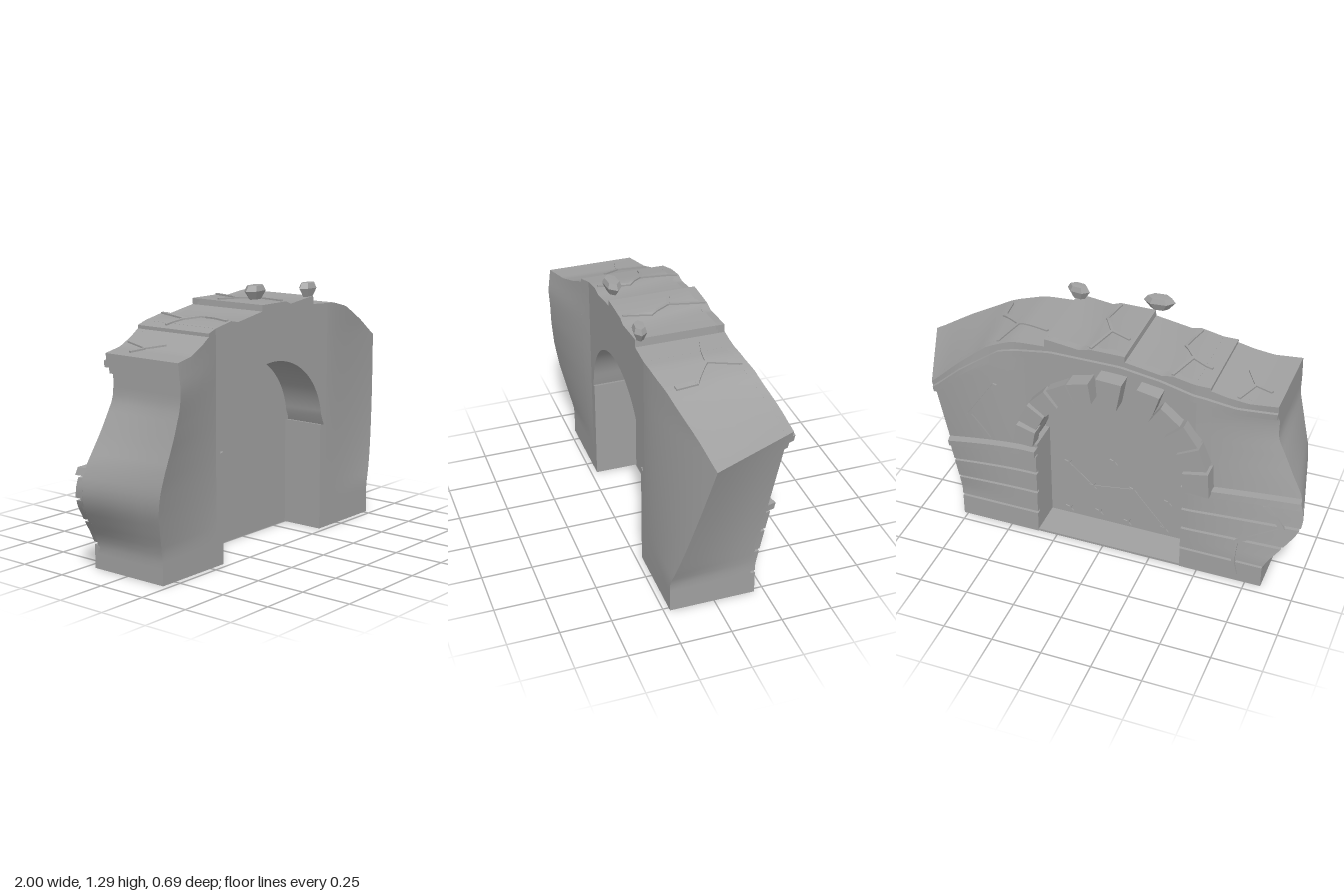
import * as THREE from 'three';
import { toCreasedNormals } from 'three/addons/utils/BufferGeometryUtils.js';

const stone = new THREE.MeshStandardMaterial({ color: 0xa0a0a0 });
stone.name = 'grey stone';

// Height lines: the stepped top of the wall and the moulding under it
const TOP = [[-0.83, 1.02], [-0.7, 1.03], [-0.6, 1.06], [-0.531, 1.09], [-0.529, 1.105], [-0.35, 1.14],
  [-0.3, 1.13], [-0.121, 1.16], [-0.119, 1.19], [0.06, 1.19], [0.1, 1.175], [0.27, 1.195], [0.279, 1.195],
  [0.281, 1.155], [0.45, 1.145], [0.55, 1.11], [0.66, 1.02], [0.77, 0.91]];
const MOULD = [[-0.83, 0.96], [-0.65, 0.98], [-0.5, 1.03], [-0.3, 1.08], [-0.1, 1.11], [0.25, 1.11],
  [0.5, 1.07], [0.66, 0.96], [0.77, 0.86]];
// Sideways bulge and forward lean of the left/right ends against height
const BULGE = [[0.12, 0], [0.17, 0.025], [0.23, 0.07], [0.33, 0.14], [0.38, 0.163], [0.42, 0.17], [0.47, 0.165],
  [0.55, 0.14], [0.64, 0.09], [0.72, 0.05], [0.82, 0]];
const LEAN = [[0.15, 0], [0.4, 0.053], [0.55, 0.08], [0.7, 0.1], [0.9, 0.115], [1.02, 0.1]];

function table(points, x) {
  if (x <= points[0][0]) return points[0][1];
  for (let i = 1; i < points.length; i++) {
    const [x0, y0] = points[i - 1], [x1, y1] = points[i];
    if (x <= x1) return y0 + (y1 - y0) * (x - x0) / (x1 - x0);
  }
  return points[points.length - 1][1];
}
const top = x => table(TOP, x);
const mould = x => table(MOULD, x);
const lerp = THREE.MathUtils.lerp;

// Twist the two ends of the wall
function warp(x, y, z) {
  const w = (z + 0.2) / 0.42;
  if (x > 0.4) {
    const s = ((x - 0.4) / 0.37) ** 1.6;
    const t = THREE.MathUtils.clamp((y - 0.17) / 0.74, 0, 1.1);
    return [x + s * lerp(0.05 * t, 0.23 * t ** 0.8, w), y, z - 0.13 * t * s];
  }
  if (x < -0.46) {
    const s = (-0.46 - x) / 0.37;
    return [x - s ** 1.5 * table(BULGE, y) * lerp(1, 0.47, w), y, z + s * table(LEAN, y)];
  }
  return [x, y, z];
}

function mapVertices(geometry, rule) {
  const p = geometry.attributes.position;
  for (let i = 0; i < p.count; i++) p.setXYZ(i, ...rule(p.getX(i), p.getY(i), p.getZ(i)));
  return geometry;
}

export function createModel() {
  const model = new THREE.Group();
  model.name = 'stoneArchway';

  const add = (name, geometry, parent = model) => {
    const mesh = new THREE.Mesh(toCreasedNormals(geometry, 0.5), stone);
    mesh.name = name;
    parent.add(mesh);
    return mesh;
  };

  // Warped slab between two height lines
  const slab = (name, x0, x1, low, high, z0, z1, nx = 10, ny = 1, nz = 1) => {
    const g = new THREE.BoxGeometry(1, 1, 1, nx, ny, nz);
    add(name, mapVertices(g, (a, b, c) => {
      const x = lerp(x0, x1, a + 0.5), k = THREE.MathUtils.clamp(x, x0 + 0.003, x1 - 0.003);
      return warp(x, lerp(low(k), high(k), b + 0.5), lerp(z0, z1, c + 0.5));
    }));
  };
  const flat = y => () => y;

  // Middle of the wall with the arched opening
  const s = new THREE.Shape();
  s.moveTo(-0.46, 0);
  s.lineTo(-0.41, 0);
  s.lineTo(-0.41, 0.54);
  s.lineTo(-0.43, 0.535);
  for (let i = 2; i <= 46; i++) {
    const a = Math.PI * (1 - i / 48);
    s.lineTo(-0.03 + 0.39 * Math.cos(a), 0.54 + 0.37 * Math.sin(a));
  }
  s.lineTo(0.38, 0.535);
  s.lineTo(0.35, 0.54);
  s.lineTo(0.35, 0);
  s.lineTo(0.4, 0);
  s.lineTo(0.4, top(0.4));
  TOP.filter(p => p[0] > -0.46 && p[0] < 0.4).reverse().forEach(p => s.lineTo(...p));
  s.lineTo(-0.46, top(-0.46));
  const middle = new THREE.ExtrudeGeometry(s, { depth: 0.4, bevelEnabled: false });
  add('archWall', middle.translate(0, 0, -0.18));

  // Twisted wall ends
  slab('leftWallEnd', 0.4, 0.77, flat(0), top, -0.18, 0.22, 14, 24, 4);
  slab('rightWallEnd', -0.83, -0.53, flat(0), top, -0.18, 0.22, 12, 28, 4);
  slab('rightWallInner', -0.53, -0.46, flat(0), top, -0.18, 0.22, 3, 28, 4);

  // Closed panel and sill
  const panel = new THREE.BoxGeometry(0.8, 0.93, 0.02);
  add('panel', panel.translate(-0.03, 0.465, -0.01));
  const sill = new THREE.BoxGeometry(0.78, 0.012, 0.19);
  add('sill', sill.translate(-0.03, 0.006, -0.105));

  // Coping blocks and double moulding along the back
  [[-0.83, -0.53], [-0.53, -0.12], [-0.12, 0.28], [0.28, 0.77]].forEach(([a, b]) =>
    slab('copingBlock', a, b, mould, top, -0.212, -0.17, 16));
  slab('upperMoulding', -0.83, 0.77, x => mould(x) - 0.005, x => mould(x) + 0.025, -0.228, -0.17, 60);
  slab('lowerMoulding', -0.83, 0.77, x => mould(x) - 0.03, x => mould(x) - 0.005, -0.2, -0.17, 60);

  // Stone courses and ledge on both sides of the opening
  const rows = [0, 0.13, 0.26, 0.38, 0.49];
  [[-0.83, -0.41], [0.35, 0.77]].forEach(([a, b]) => {
    for (let i = 0; i < 4; i++)
      slab('stoneCourse', a, b, flat(rows[i]), flat(rows[i + 1] - 0.014), -0.203, -0.17, 14, 4);
    slab('ledge', a, b, flat(0.485), flat(0.52), -0.222, -0.17, 14, 1);
  });

  // Arch stones: angle, radius, width, height, front depth, extra tilt
  [[10, 0.43, 0.1, 0.1, 0.235, 0], [27, 0.43, 0.1, 0.1, 0.235, 0], [43, 0.43, 0.1, 0.105, 0.235, 0],
    [59, 0.43, 0.1, 0.105, 0.24, 0], [75, 0.44, 0.1, 0.11, 0.265, 0], [93, 0.45, 0.11, 0.15, 0.262, 0],
    [115, 0.5, 0.1, 0.11, 0.262, -14], [130, 0.45, 0.11, 0.11, 0.24, 0], [145, 0.46, 0.11, 0.12, 0.24, 0],
    [160, 0.46, 0.11, 0.12, 0.24, 0], [176, 0.46, 0.12, 0.13, 0.245, 0]
  ].forEach(([deg, r, w, h, depth, tilt]) => {
    const a = deg * Math.PI / 180;
    const g = new THREE.BoxGeometry(w, h, depth - 0.16);
    // wedge: wider at the outside
    mapVertices(g, (x, y, z) => [x * (1 + y * 2.2), y, z]);
    g.rotateZ(a - Math.PI / 2 + tilt * Math.PI / 180);
    g.translate(-0.03 + r * Math.cos(a), 0.54 + r * Math.sin(a), -(depth + 0.16) / 2);
    add(deg === 93 ? 'keystone' : 'archStone', g);
  });

  // Raised strip through points, laid on a surface by a rule
  const strip = (name, points, width, thick, rule) => {
    for (let i = 1; i < points.length; i++) {
      const [a0, b0] = points[i - 1], [a1, b1] = points[i];
      const g = new THREE.BoxGeometry(Math.hypot(a1 - a0, b1 - b0) + width * 0.6, width, thick, 6, 1, 1);
      g.rotateZ(Math.atan2(b1 - b0, a1 - a0));
      g.translate((a0 + a1) / 2, (b0 + b1) / 2, 0);
      add(name, mapVertices(g, rule));
    }
  };

  // Cracks on the top, given as x and z
  [[[-0.49, -0.06], [-0.4, -0.03], [-0.33, 0.05], [-0.36, 0.2]], [[-0.39, -0.03], [-0.35, -0.2]],
    [[-0.09, -0.07], [0.01, -0.03], [0.07, 0.07], [0.05, 0.2]], [[0.01, -0.03], [0.05, -0.2]],
    [[0.32, -0.08], [0.47, -0.04], [0.55, 0.07], [0.55, 0.17]], [[0.47, -0.04], [0.51, -0.18]],
    [[-0.77, -0.1], [-0.69, -0.06], [-0.64, 0.03]], [[-0.69, -0.06], [-0.65, -0.19]]
  ].forEach(c => strip('topCrack', c.map(([x, z]) => [x, -z]), 0.014, 0.016,
    (a, b, h) => warp(a, top(a) + h, -b)));

  // Cracks on the back, given as x and y with the depth of the surface
  [[[[0.54, 0.87], [0.66, 0.68], [0.59, 0.54]], -0.18], [[[-0.72, 0.47], [-0.78, 0.36], [-0.66, 0.24], [-0.7, 0.05]], -0.203]
  ].forEach(([c, z]) => strip('backCrack', c.map(([x, y]) => [-x, y]), 0.016, 0.018,
    (a, b, h) => warp(-a, b, z - h)));

  // Star chart on the back of the panel
  const onPanel = (a, b, h) => [-a, b, -0.02 - h];
  strip('starLine', [[-0.25, 0.34], [-0.12, 0.225], [0.1, 0.26], [0.27, 0.055]], 0.008, 0.008, onPanel);
  [[0.25, 0.34], [0.006, 0.41], [0.12, 0.225], [-0.1, 0.26], [-0.285, 0.23], [0.25, 0.045], [0.085, 0.065],
    [-0.07, 0.04], [-0.27, 0.055]].forEach(([x, y]) => {
    const star = new THREE.Shape();
    for (let i = 0; i < 8; i++) {
      const r = i % 2 ? 0.008 : 0.026, a = i * Math.PI / 4 + 0.6;
      star[i ? 'lineTo' : 'moveTo'](r * Math.cos(a), r * Math.sin(a));
    }
    const g = new THREE.ExtrudeGeometry(star, { depth: 0.008, bevelEnabled: false });
    add('star', g.translate(x, y, -0.027));
  });

  // Loose stones floating above the wall
  [[-0.145, 1.253, 0.195, 0.078, 0.033, 0.04, 0.1], [0.268, 1.227, 0.195, 0.06, 0.035, 0.034, -0.1]
  ].forEach(([x, y, z, w, h, d, tilt]) => {
    const profile = [[0, -1], [0.55, -1], [1, 0.2], [0.75, 0.95], [0, 1]].map(p => new THREE.Vector2(...p));
    const g = new THREE.LatheGeometry(profile, 6, Math.PI / 6).scale(w, h, d);
    const rock = new THREE.Mesh(toCreasedNormals(g, 0.1), stone);
    rock.name = 'floatingStone';
    rock.position.set(x, y, z);
    rock.rotation.y = tilt;
    model.add(rock);
  });

  return model;
}
